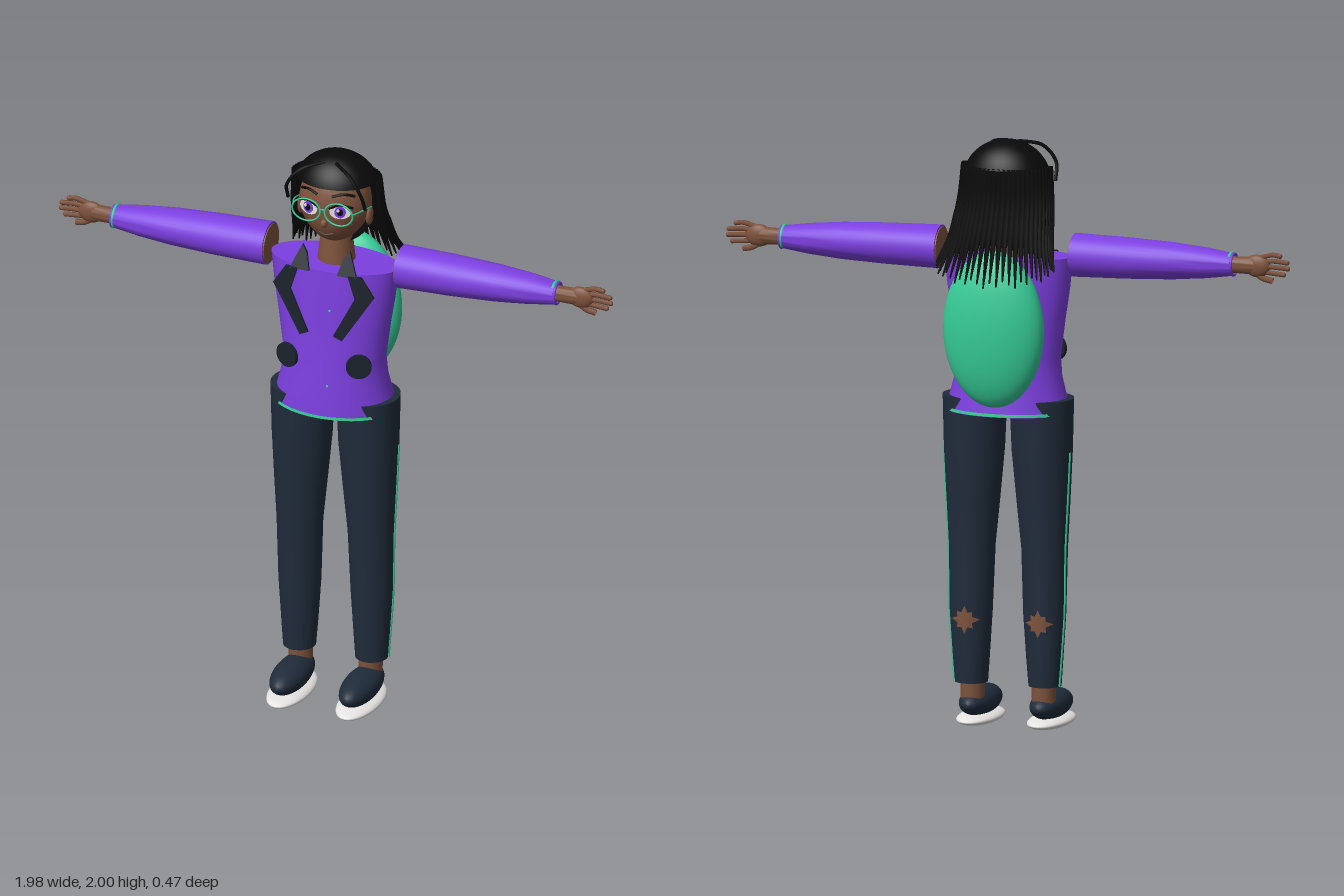
import * as THREE from 'three';
import { toCreasedNormals } from 'three/addons/utils/BufferGeometryUtils.js';

const V = (x, y, z) => new THREE.Vector3(x, y, z);

export function createModel() {
  const root = new THREE.Group();
  root.name = 'woman';
  const mat = (name, color, side = THREE.FrontSide) => {
    const m = new THREE.MeshStandardMaterial({ color, side });
    m.name = name;
    return m;
  };
  const purple = mat('purple', 0x7c3fe0);
  const navy = mat('navy', 0x202c3b);
  const charcoal = mat('charcoal', 0x1b222c, THREE.DoubleSide);
  const teal = mat('teal', 0x36cc98, THREE.DoubleSide);
  const skin = mat('skin brown', 0x7d523c, THREE.DoubleSide);
  const black = mat('hair black', 0x090909, THREE.DoubleSide);
  const white = mat('white', 0xeeecea);
  const lip = mat('lip brown', 0x55302a);

  const add = (name, geo, material, x = 0, y = 0, z = 0) => {
    const m = new THREE.Mesh(geo, material);
    m.name = name;
    m.position.set(x, y, z);
    root.add(m);
    return m;
  };
  const ball = (name, material, p, r, seg = 32) =>
    add(name, new THREE.SphereGeometry(1, seg, seg * 0.75).scale(...r), material, ...p);
  const tube = (name, material, pts, r, seg = 12) =>
    add(name, new THREE.TubeGeometry(new THREE.CatmullRomCurve3(pts), seg, r, 6), material);
  const disc = (rx, ry) => new THREE.CylinderGeometry(1, 1, 0.004, 28).rotateX(Math.PI / 2).scale(rx, ry, 1);

  // Elliptical loft; rows run from top to bottom as [y, cx, rx, cz, rz]
  const loft = (rows, open = false) => {
    const n = rows.length - 1;
    const g = new THREE.CylinderGeometry(1, 1, 1, 36, n, open);
    const p = g.attributes.position;
    for (let i = 0; i < p.count; i++) {
      const [y, cx, rx, cz, rz] = rows[Math.round((0.5 - p.getY(i)) * n)];
      p.setXYZ(i, cx + p.getX(i) * rx, y, cz + p.getZ(i) * rz);
    }
    return toCreasedNormals(g, 0.7);
  };

  // Jacket body with hem band
  add('jacket', loft([
    [1.61, 0, 0.225, 0.005, 0.11], [1.5, 0, 0.212, 0.008, 0.114], [1.4, 0, 0.196, 0.01, 0.117],
    [1.27, 0, 0.178, 0.01, 0.125], [1.2, 0, 0.183, 0.008, 0.136], [1.08, 0, 0.215, 0.003, 0.148],
  ]), purple);
  add('hemBand', loft([[1.092, 0, 0.214, 0.003, 0.151], [1.082, 0, 0.217, 0.003, 0.152]], true), teal);
  for (const y of [1.47, 1.38, 1.2]) ball('button', teal, [0.025, y, y > 1.3 ? 0.122 : 0.144], [0.005, 0.005, 0.004], 8);

  // Backpack
  ball('backpack', teal, [0, 1.38, -0.15], [0.175, 0.265, 0.08], 40);

  for (const s of [-1, 1]) {
    // Lapels and collar
    const flap = (name, pts, zRule) => {
      const shape = new THREE.Shape(pts.map(([x, y]) => new THREE.Vector2(x * s, y)));
      const g = new THREE.ExtrudeGeometry(shape, { depth: 0.008, bevelEnabled: false });
      const p = g.attributes.position;
      for (let i = 0; i < p.count; i++) p.setZ(i, p.getZ(i) + zRule(Math.abs(p.getX(i)), p.getY(i)));
      g.computeVertexNormals();
      add(name, g, charcoal);
    };
    flap('lapel', [[0.09, 1.61], [0.135, 1.61], [0.18, 1.54], [0.075, 1.375], [0.045, 1.39], [0.115, 1.53]],
      (x, y) => 0.13 + (1.6 - y) * 0.06 - x * 0.15);
    flap('collar', [[0.085, 1.685], [0.065, 1.66], [0.05, 1.605], [0.12, 1.605]],
      (x, y) => 0.115 - (y - 1.6) * 0.4);

    // Pocket
    add('pocket', new THREE.CylinderGeometry(0.043, 0.043, 0.012, 32).rotateX(Math.PI / 2),
      charcoal, 0.128 * s, 1.28, 0.118).rotation.y = 0.35 * s;

    // Sleeve, built upright and then laid along x
    const along = (rows) => loft(rows).rotateZ(-s * Math.PI / 2);
    const sleeve = [[0.79, 0.038, 0.042], [0.7, 0.051, 0.056], [0.58, 0.062, 0.068], [0.42, 0.069, 0.076], [0.235, 0.073, 0.077]];
    add('sleeve', along(sleeve.map(([l, ry, rz]) => [l, 0, ry, 0, rz])), purple, 0, 1.62, 0);
    add('upperArm', along([[0.25, 0, 0.066, 0, 0.07], [0.231, 0, 0.066, 0, 0.07]]), skin, 0, 1.62, 0);
    // Bracelet, half showing
    add('bracelet', new THREE.TorusGeometry(0.038, 0.006, 8, 28, Math.PI).rotateY(Math.PI / 2).rotateX(s > 0 ? -0.8 : 0.8),
      teal, 0.785 * s, 1.62, 0);
    add('cuff', new THREE.TorusGeometry(0.036, 0.005, 8, 28).rotateY(Math.PI / 2), purple, 0.793 * s, 1.62, 0);

    // Hand, flat in the vertical plane
    add('wrist', along([[0.87, 0, 0.03, 0, 0.02], [0.77, 0, 0.027, 0, 0.027]]), skin, 0, 1.62, 0);
    ball('palm', skin, [0.875 * s, 1.62, 0], [0.046, 0.038, 0.02]);
    [[0.955, 0.037], [0.98, 0.016], [0.983, -0.004], [0.968, -0.025]].forEach(([tip, dy]) => {
      tube('finger', skin, [V(0.885 * s, 1.621 + dy * 0.75, 0), V(0.93 * s, 1.623 + dy, 0), V(tip * s, 1.62 + dy, 0)], 0.0085);
      ball('fingertip', skin, [tip * s, 1.62 + dy, 0], [0.0085, 0.0085, 0.0085], 10);
    });
    tube('thumb', skin, [V(0.86 * s, 1.605, 0), V(0.895 * s, 1.58, 0), V(0.93 * s, 1.572, 0)], 0.0105);

    // Trouser leg with side stripe
    const leg = [
      [1.13, 0.117, 0.108, 0.004, 0.109], [0.95, 0.119, 0.102, 0.004, 0.101], [0.78, 0.123, 0.09, 0.005, 0.088],
      [0.62, 0.127, 0.078, 0.005, 0.076], [0.4, 0.129, 0.072, 0, 0.07], [0.25, 0.129, 0.062, 0.001, 0.063],
      [0.155, 0.129, 0.055, 0.003, 0.057],
    ].map(([y, cx, ...r]) => [y, cx * s, ...r]);
    add('trouserLeg', loft(leg), navy);
    tube('sideStripe', teal, leg.slice(1).map(([y, cx, rx]) => V(cx + s * rx, y, -0.01)), 0.004, 24);

    // Torn patch, a ragged star bent around the calf
    const patch = new THREE.RingGeometry(0.001, 1, 16, 5);
    const p = patch.attributes.position;
    for (let i = 0; i < p.count; i++) {
      const k = i % 17 % 16;
      const r = k % 2 ? 0.55 : [1, 0.8, 0.95, 0.75][(k / 2) % 4];
      const x = p.getX(i) * r * 0.05, y = p.getY(i) * r * 0.05;
      p.setXYZ(i, x, y, -0.0735 * Math.sqrt(1 - (x / 0.0755) ** 2));
    }
    patch.computeVertexNormals();
    add('tornPatch', patch, skin, 0.129 * s, 0.375, 0);

    // Ankle and shoe
    add('ankle', new THREE.CylinderGeometry(0.042, 0.04, 0.09, 24), skin, 0.125 * s, 0.135, 0.003);
    ball('shoe', navy, [0.124 * s, 0.08, 0.083], [0.06, 0.05, 0.142]);
    ball('sole', white, [0.124 * s, 0.024, 0.085], [0.07, 0.022, 0.153]);

    // Eye, brow, ear and glasses
    const eye = new THREE.Group();
    eye.name = 'eye';
    eye.position.set(0.056 * s, 1.836, 0.104);
    eye.rotation.y = 0.3 * s;
    [['eyeWhite', 0.036, 0.026, white, 0], ['iris', 0.019, 0.021, purple, 0.003],
      ['pupil', 0.01, 0.012, black, 0.006], ['eyeGlint', 0.005, 0.005, white, 0.009]].forEach(([name, rx, ry, m, z]) => {
      const d = new THREE.Mesh(disc(rx, ry), m);
      d.name = name;
      d.position.set(name === 'eyeGlint' ? -0.007 : 0, name === 'eyeGlint' ? 0.008 : 0, z);
      eye.add(d);
    });
    root.add(eye);
    tube('eyelash', black, [V(0.02 * s, 1.845, 0.113), V(0.055 * s, 1.862, 0.108), V(0.098 * s, 1.85, 0.09)], 0.004);
    tube('eyebrow', black, [V(0.025 * s, 1.884, 0.1), V(0.06 * s, 1.894, 0.089), V(0.095 * s, 1.884, 0.066)], 0.005);
    ball('ear', skin, [0.122 * s, 1.79, 0.005], [0.012, 0.034, 0.022], 16);
    add('glassesRim', new THREE.TorusGeometry(0.05, 0.0035, 8, 36).scale(1, 0.8, 1), teal, 0.058 * s, 1.834, 0.124);
    tube('glassesArm', teal, [V(0.107 * s, 1.84, 0.122), V(0.125 * s, 1.835, 0.06), V(0.127 * s, 1.82, 0)], 0.003);

    // Loose front lock
    tube('frontLock', black, [V(0.02 * s, 1.985, 0.05), V(0.09 * s, 1.965, 0.098), V(0.132 * s, 1.91, 0.11), V(0.138 * s, 1.85, 0.085)], 0.006, 20);
  }
  tube('glassesBridge', teal, [V(-0.009, 1.84, 0.124), V(0, 1.844, 0.125), V(0.009, 1.84, 0.124)], 0.003);

  // Neck and head, narrowed towards the chin
  add('neck', new THREE.CylinderGeometry(0.05, 0.066, 0.14, 28), skin, 0, 1.66, -0.005);
  const headGeo = new THREE.SphereGeometry(1, 40, 30);
  const hp = headGeo.attributes.position;
  for (let i = 0; i < hp.count; i++) {
    const y = hp.getY(i), k = y < -0.2 ? 1 + (y + 0.2) * 0.2 : 1;
    hp.setXYZ(i, hp.getX(i) * 0.123 * k, y * 0.145, hp.getZ(i) * 0.11);
  }
  headGeo.computeVertexNormals();
  add('head', headGeo, skin, 0, 1.828, 0.003);
  ball('nose', skin, [0, 1.785, 0.108], [0.012, 0.016, 0.014], 16);
  tube('mouth', lip, [V(-0.024, 1.742, 0.088), V(0, 1.737, 0.095), V(0.024, 1.742, 0.088)], 0.004);

  // Hair cap with a straight fringe, and a lower half shell behind
  add('fringe', new THREE.SphereGeometry(1, 40, 14, 0, Math.PI * 2, 0, 1.2).scale(0.15, 0.14, 0.125), black, 0, 1.86, -0.01);
  add('hairBack', new THREE.SphereGeometry(1, 32, 24, Math.PI, Math.PI).scale(0.142, 0.16, 0.13), black, 0, 1.835, 0.012);

  // Long hair: a sheet at the top that splits into strands
  const flow = (a, lift = 0) => {
    const sn = Math.sin(a), c = Math.cos(a);
    return new THREE.CatmullRomCurve3([
      V(0.148 * sn, 1.915, -0.005 - 0.11 * c), V(0.157 * sn, 1.8, -0.018 - 0.118 * c),
      V(0.172 * sn, 1.69, -0.065 - 0.112 * c), V(0.205 * sn, 1.58 - 0.05 * c + lift, -0.135 - 0.093 * c),
    ]);
  };
  const sheet = new THREE.PlaneGeometry(1, 1, 28, 10);
  const sp = sheet.attributes.position;
  for (let i = 0; i < sp.count; i++) {
    const q = flow(-sp.getX(i) * 3.1).getPoint((0.5 - sp.getY(i)) * 0.7);
    sp.setXYZ(i, q.x, q.y, q.z);
  }
  sheet.computeVertexNormals();
  add('hairSheet', sheet, black);
  const count = 30;
  for (let i = 0; i < count; i++) {
    const curve = flow((i / (count - 1) - 0.5) * 3.2, (i * 7 % 5) * 0.006);
    const g = new THREE.TubeGeometry(curve, 16, 0.011, 6);
    const gp = g.attributes.position;
    // Taper each strand to its tip
    for (let j = 0; j < gp.count; j++) {
      const t = Math.floor(j / 7) / 16;
      const c = curve.getPointAt(t), k = t < 0.5 ? 1 : 1.15 - 0.95 * (t - 0.5) * 2 * 0.95;
      gp.setXYZ(j, c.x + (gp.getX(j) - c.x) * k, c.y + (gp.getY(j) - c.y) * k, c.z + (gp.getZ(j) - c.z) * k);
    }
    add('hairStrand', g, black);
  }
  return root;
}
